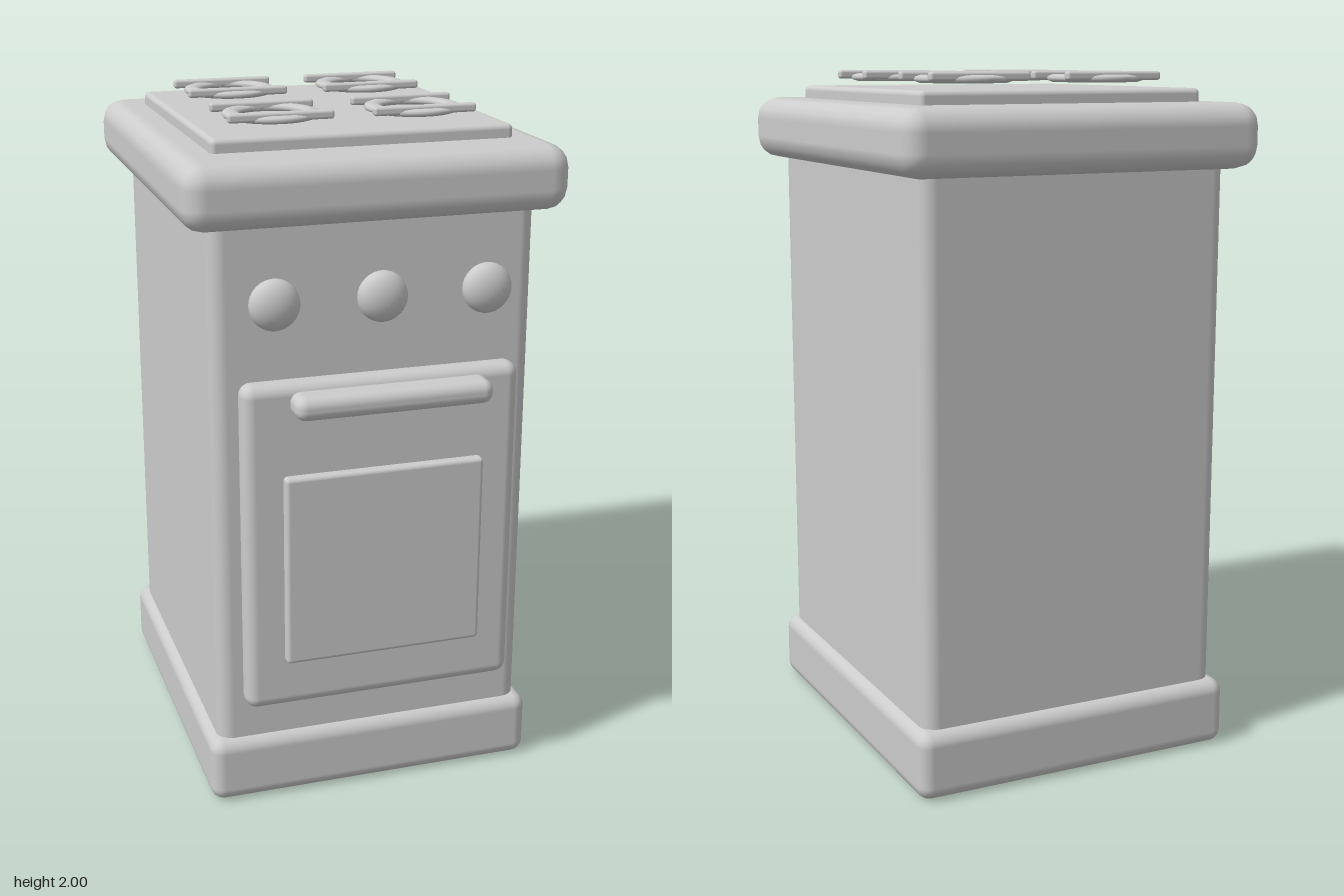
import * as THREE from 'three';
import { RoundedBoxGeometry } from 'three/addons/geometries/RoundedBoxGeometry.js';

const enamel = new THREE.MeshStandardMaterial({ color: 0xcccccc });
enamel.name = 'grey enamel';

export function createModel() {
  const stove = new THREE.Group();
  stove.name = 'stove';

  const add = (name, geometry, parent = stove) => {
    const mesh = new THREE.Mesh(geometry, enamel);
    mesh.name = name;
    parent.add(mesh);
    return mesh;
  };

  // Rounded block given by its extents on each axis
  const block = (name, [x0, x1], [y0, y1], [z0, z1], radius, segments = 3, parent = stove) => {
    const mesh = add(name, new RoundedBoxGeometry(x1 - x0, y1 - y0, z1 - z0, segments, radius), parent);
    mesh.position.set((x0 + x1) / 2, (y0 + y1) / 2, (z0 + z1) / 2);
    return mesh;
  };

  // Cabinet
  block('base', [-0.5, 0.5], [0, 0.2], [-0.64, 0.515], 0.04);
  block('body', [-0.472, 0.472], [0.1, 1.82], [-0.605, 0.487], 0.045);
  block('worktop', [-0.55, 0.55], [1.73, 1.915], [-0.685, 0.562], 0.065, 2);
  block('cooktop', [-0.435, 0.435], [1.89, 1.953], [-0.518, 0.39], 0.015);

  // Oven door
  block('ovenDoor', [-0.405, 0.405], [0.325, 1.31], [0.488, 0.57], 0.035);
  block('ovenWindow', [-0.293, 0.293], [0.475, 1.045], [0.55, 0.598], 0.012);
  block('ovenHandle', [-0.284, 0.284], [1.235, 1.303], [0.588, 0.685], 0.03);

  // Control knobs
  for (const x of [-0.306, 0, 0.306]) {
    const knob = add('knob', new THREE.SphereGeometry(0.072, 24, 16));
    knob.scale.z = 0.6;
    knob.position.set(x, 1.53, 0.542);
  }

  // Burners: flattened ring, shallow bowl and two grate bars
  const ringGeometry = new THREE.TorusGeometry(0.115, 0.025, 10, 32)
    .rotateX(-Math.PI / 2).scale(1, 0.46, 1);
  const bowlGeometry = new THREE.LatheGeometry(
    [[0, -0.01], [0.04, -0.008], [0.075, -0.003], [0.1, 0.004]]
      .map(([r, y]) => new THREE.Vector2(r, y)), 32);
  for (const x of [-0.21, 0.21]) {
    for (const z of [-0.304, 0.175]) {
      const burner = new THREE.Group();
      burner.name = 'burner';
      burner.position.set(x, 1.98, z);
      stove.add(burner);
      add('burnerRing', ringGeometry, burner);
      add('burnerBowl', bowlGeometry, burner);
      for (const s of [-1, 1]) {
        block('grateBar', [-0.152, 0.152], [-0.005, 0.02],
          [s * 0.103 - 0.014, s * 0.103 + 0.014], 0.008, 2, burner);
      }
    }
  }

  return stove;
}
